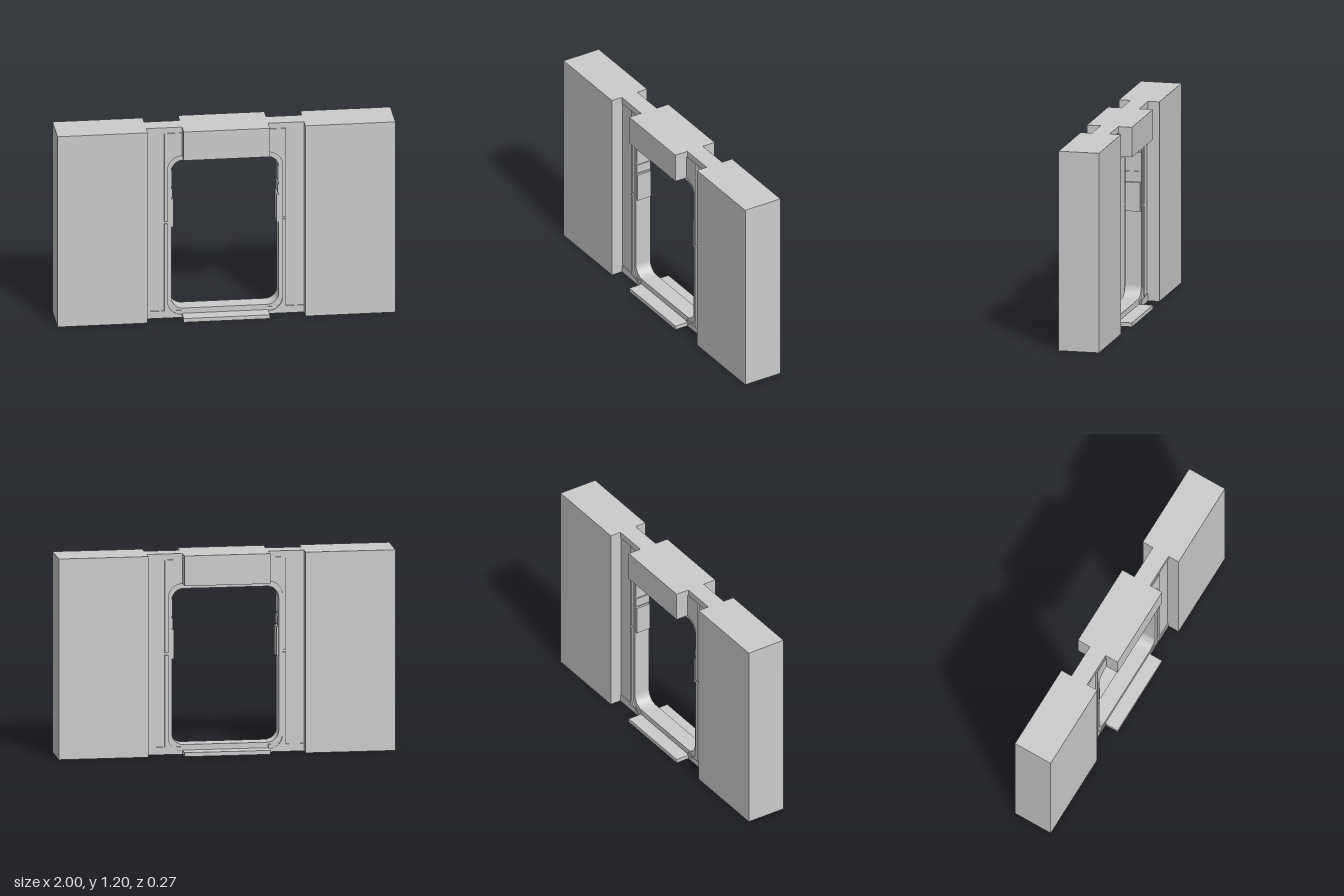
import * as THREE from 'three';

const material = new THREE.MeshStandardMaterial({ color: 0xcccccc, flatShading: true });

function add(parent, name, geometry) {
  const mesh = new THREE.Mesh(geometry, material);
  mesh.name = name;
  parent.add(mesh);
  return mesh;
}

// Box given by its limits, centred on z = 0
function block(parent, name, x0, x1, y0, y1, halfDepth) {
  const mesh = add(parent, name, new THREE.BoxGeometry(x1 - x0, y1 - y0, halfDepth * 2));
  mesh.position.set((x0 + x1) / 2, (y0 + y1) / 2, 0);
  return mesh;
}

// Extrusion centred on z = 0
function slab(parent, name, shape, halfDepth) {
  const geometry = new THREE.ExtrudeGeometry(shape, { depth: halfDepth * 2, bevelEnabled: false, curveSegments: 8 });
  geometry.translate(0, 0, -halfDepth);
  return add(parent, name, geometry);
}

function roundedRect(path, halfWidth, y0, y1, r) {
  const cx = halfWidth - r;
  path.moveTo(-cx, y0);
  path.lineTo(cx, y0);
  path.absarc(cx, y0 + r, r, -Math.PI / 2, 0);
  path.absarc(cx, y1 - r, r, 0, Math.PI / 2);
  path.absarc(-cx, y1 - r, r, Math.PI / 2, Math.PI);
  path.absarc(-cx, y0 + r, r, Math.PI, Math.PI * 1.5);
  return path;
}

const H = 1.2;
const LINTEL = 0.255, OPEN = 0.34, R = OPEN - LINTEL;
const OPEN_Y0 = 0.02, OPEN_Y1 = 1.02;

// Wall beside the opening, following the rounded corners
function jambShape(outer, y0, y1) {
  const s = new THREE.Shape();
  s.moveTo(outer, y0);
  s.lineTo(outer, y1);
  if (y1 > OPEN_Y1) {
    s.lineTo(LINTEL, y1);
    s.lineTo(LINTEL, OPEN_Y1);
    s.absarc(LINTEL, OPEN_Y1 - R, R, Math.PI / 2, 0, true);
  } else s.lineTo(OPEN, y1);
  if (y0 < 0.1) {
    s.absarc(LINTEL, OPEN_Y0 + R, R, 0, -Math.PI / 2, true);
    s.lineTo(LINTEL, y0);
  } else s.lineTo(OPEN, y0);
  s.closePath();
  return s;
}

function createSide() {
  const side = new THREE.Group();
  block(side, 'wallBlock', 0.467, 1, 0, H, 0.122);
  slab(side, 'jambWall', jambShape(0.467, 0, H), 0.048);
  // Thin strips at head and foot
  block(side, 'headStrip', LINTEL, 0.467, 1.16, H, 0.054);
  block(side, 'footStrip', LINTEL, 0.467, 0, 0.045, 0.054);
  // Raised trim, split at mid height
  slab(side, 'upperTrim', jambShape(0.36, 0.608, 1.165), 0.059);
  slab(side, 'lowerTrim', jambShape(0.36, 0.04, 0.595), 0.059);
  // Pads on the inner face of the jamb
  for (const [x, y0, y1] of [[0.305, 0.57, 0.745], [0.311, 0.755, 0.81], [0.313, 0.825, 0.925]]) {
    block(side, 'jambPad', x, 0.33, y0, y1, 0.046);
  }
  return side;
}

export function createModel() {
  const model = new THREE.Group();
  model.name = 'doorwayWall';

  // Both halves, the second turned half a revolution
  for (const [name, angle] of [['leftSide', 0], ['rightSide', Math.PI]]) {
    const side = createSide();
    side.name = name;
    side.rotation.y = angle;
    model.add(side);
  }

  // Rounded door frame
  const frame = roundedRect(new THREE.Shape(), OPEN, OPEN_Y0, OPEN_Y1, R);
  frame.holes.push(roundedRect(new THREE.Path(), 0.318, 0.057, 0.99, 0.07));
  slab(model, 'doorFrame', frame, 0.05);

  // Lintel above and threshold below
  block(model, 'lintel', -LINTEL, LINTEL, OPEN_Y1, H, 0.136);
  block(model, 'threshold', -LINTEL, LINTEL, 0, OPEN_Y0 + 0.004, 0.136);
  return model;
}
